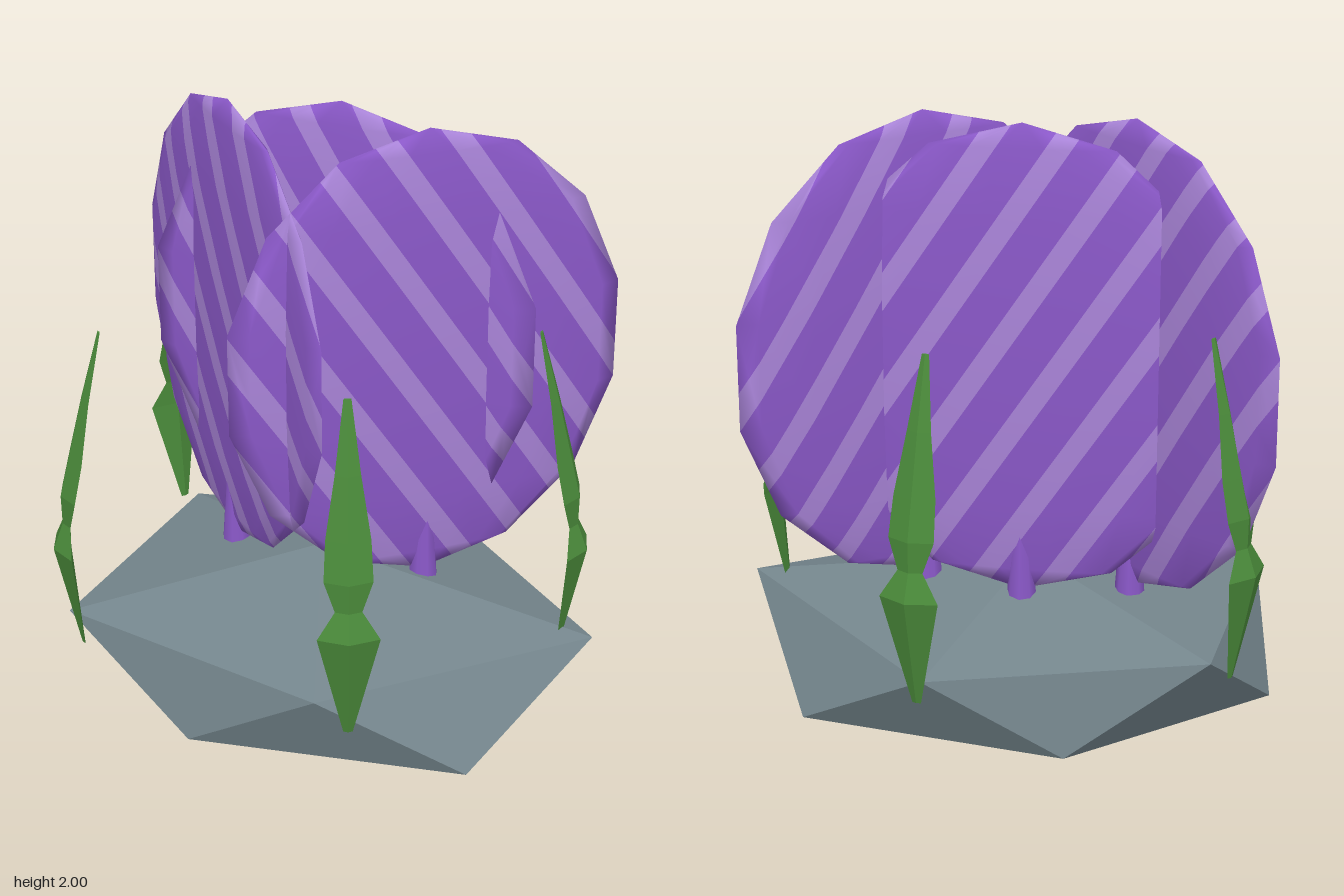
import * as THREE from 'three';

const mat = (name, color, flatShading = false) =>
  Object.assign(new THREE.MeshStandardMaterial({ color, flatShading }), { name });

const V = (x, y, z) => new THREE.Vector3(x, y, z);

function triangles(points) {
  const g = new THREE.BufferGeometry().setFromPoints(points);
  g.computeVertexNormals();
  return g;
}

// Faceted boulder: two staggered rings of five points and two tips
function rockGeometry() {
  const top = V(-0.06, 0.47, 0.02), bottom = V(0, 0, 0);
  const upper = [V(0.91, 0.33, 0.03), V(0.18, 0.28, -0.64), V(-0.72, 0.31, -0.4), V(-0.78, 0.31, 0.5), V(0.18, 0.28, 0.665)];
  const lower = [V(0.63, 0.01, -0.43), V(-0.27, 0.01, -0.56), V(-0.88, 0.01, 0.02), V(-0.28, 0.01, 0.645), V(0.64, 0.01, 0.49)];
  const p = [];
  for (let i = 0; i < 5; i++) {
    const j = (i + 1) % 5;
    p.push(top, upper[i], upper[j], upper[i], lower[i], upper[j],
      lower[i], lower[j], upper[j], bottom, lower[j], lower[i]);
  }
  return triangles(p);
}

// Keep the part of a polygon where sign * (u - limit) >= 0
function clip(poly, limit, sign) {
  const out = [];
  poly.forEach((a, i) => {
    const b = poly[(i + 1) % poly.length];
    const da = sign * (a.u - limit), db = sign * (b.u - limit);
    if (da >= 0) out.push(a);
    if ((da > 0 && db < 0) || (da < 0 && db > 0)) {
      const t = da / (da - db);
      out.push({ p: a.p.clone().lerp(b.p, t), n: a.n.clone().lerp(b.n, t).normalize(), u: limit });
    }
  });
  return out;
}

// Flattened oval cut into diagonal bands: group 0 is plain, group 1 is striped
function fanGeometry() {
  const period = 0.24, light = 0.085, start = -0.165;
  const src = new THREE.SphereGeometry(1, 14, 7).scale(0.69, 0.79, 0.056).toNonIndexed();
  const pos = src.attributes.position, nor = src.attributes.normal;
  const sides = [[], []];
  for (let i = 0; i < pos.count; i += 3) {
    const tri = [0, 1, 2].map(k => {
      const p = V().fromBufferAttribute(pos, i + k);
      return { p, n: V().fromBufferAttribute(nor, i + k), u: p.x + p.y / 1.5 };
    });
    for (let k = -6; k <= 6; k++) {
      const a = start + k * period;
      [[a + light, a + period], [a, a + light]].forEach(([lo, hi], s) => {
        const poly = clip(clip(tri, lo, 1), hi, -1);
        for (let j = 1; j + 1 < poly.length; j++) sides[s].push(poly[0], poly[j], poly[j + 1]);
      });
    }
  }
  const all = [...sides[0], ...sides[1]];
  const g = new THREE.BufferGeometry().setFromPoints(all.map(v => v.p));
  g.setAttribute('normal', new THREE.Float32BufferAttribute(all.flatMap(v => v.n.toArray()), 3));
  g.addGroup(0, sides[0].length, 0);
  g.addGroup(sides[0].length, sides[1].length, 1);
  return g;
}

// Bent blade with a pinched waist; sections are [height, outward shift, half width]
function kelpGeometry(x, z) {
  const sections = [[0.28, 0, 0.015], [0.65, 0.05, 0.098], [0.74, 0.035, 0.042], [0.84, 0.025, 0.076],
    [0.97, -0.005, 0.07], [1.17, -0.045, 0.04], [1.4, -0.1, 0.012]];
  const r = V(x, 0, z).normalize(), t = V(r.z, 0, -r.x);
  const rings = sections.map(([y, shift, w]) =>
    [[0.35, 0], [0, 1], [-0.25, 0], [0, -1]].map(([a, b]) =>
      V(x, y, z).addScaledVector(r, shift + a * w).addScaledVector(t, b * w)));
  const p = [];
  for (let i = 0; i + 1 < rings.length; i++) {
    for (let j = 0; j < 4; j++) {
      const k = (j + 1) % 4;
      const a = rings[i][j], b = rings[i][k], c = rings[i + 1][k], d = rings[i + 1][j];
      p.push(a, b, c, a, c, d);
    }
  }
  const lo = rings[0], hi = rings[rings.length - 1];
  p.push(lo[0], lo[2], lo[1], lo[0], lo[3], lo[2], hi[0], hi[1], hi[2], hi[0], hi[2], hi[3]);
  return triangles(p);
}

export function createModel() {
  const model = new THREE.Group();
  const stone = mat('slate stone', 0x74858c, true);
  const purple = mat('coral purple', 0x8a58c8);
  const lilac = mat('stripe lilac', 0xa984d8);
  const green = mat('kelp green', 0x4a8a3a, true);
  const add = (name, geometry, material, parent = model) => {
    const m = new THREE.Mesh(geometry, material);
    m.name = name;
    parent.add(m);
    return m;
  };

  add('rock', rockGeometry(), stone);

  // Three striped fans, each on a short stalk
  const fan = fanGeometry();
  const stalk = new THREE.CylinderGeometry(0.03, 0.05, 0.28, 8);
  [['backFan', -0.06, -0.165, 0], ['leftFan', 0.285, -0.045, 0.72], ['rightFan', -0.405, -0.045, -0.72]]
    .forEach(([name, x, z, turn]) => {
      const coral = new THREE.Group();
      coral.name = name;
      coral.position.set(x, 0, z);
      coral.rotation.y = turn;
      add('fanBlade', fan, [purple, lilac], coral).position.y = 1.21;
      add('fanStalk', stalk, purple, coral).position.y = 0.53;
      model.add(coral);
    });

  // Ring of kelp blades around the rock
  [[0.79, 0.02], [0.34, 0.77], [-0.67, 0.61], [-0.785, -0.42], [0.16, -0.78]]
    .forEach(([x, z], i) => add('kelpBlade' + (i + 1), kelpGeometry(x, z), green));

  return model;
}
